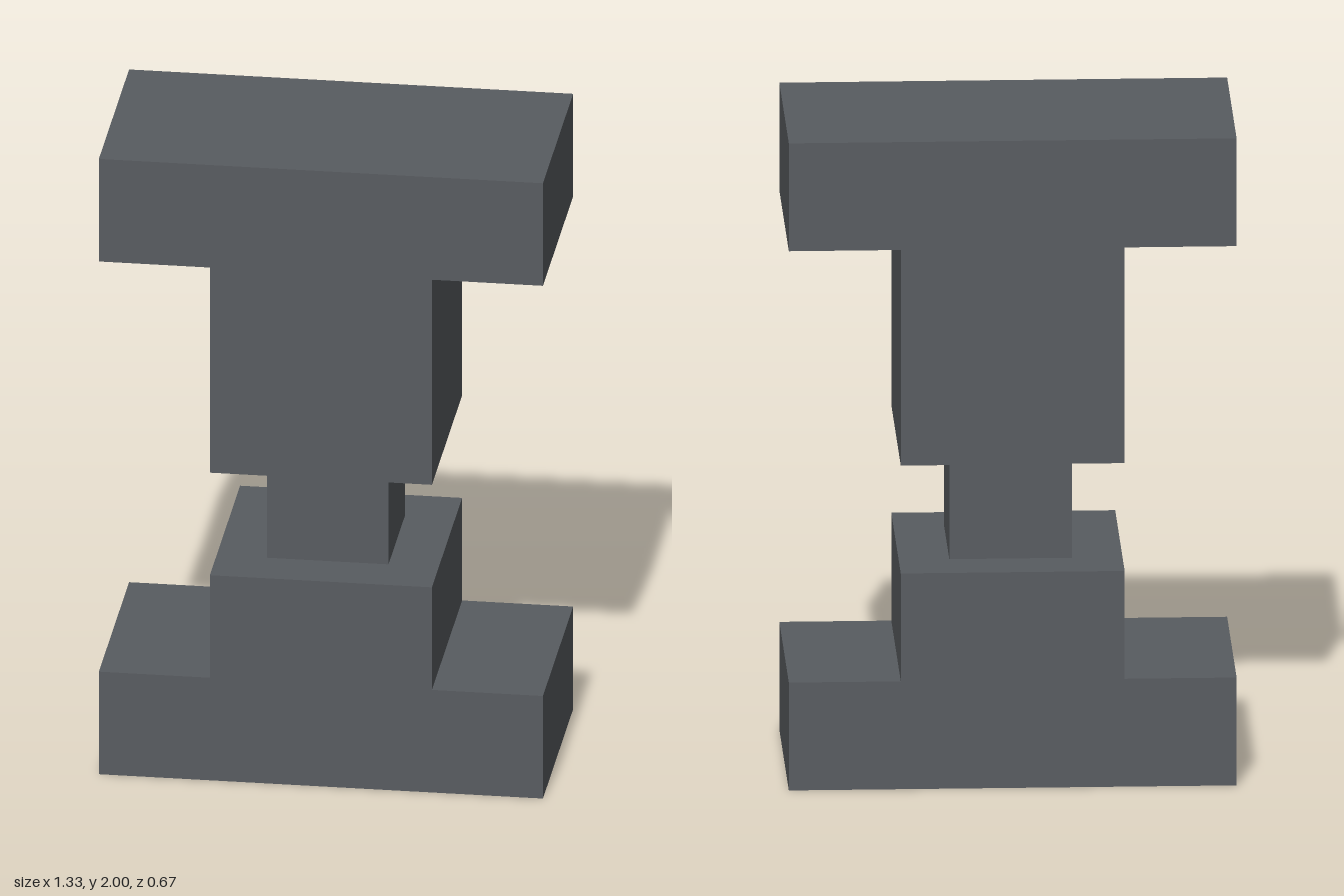
import * as THREE from 'three';

const UNIT = 1 / 3; // the whole shape sits on a grid of thirds

export function createModel() {
  const group = new THREE.Group();
  const darkGrey = new THREE.MeshStandardMaterial({ color: 0x585c60 });

  // T-shaped block: a wide plate with a square stem, outlined by (x, y) on the right half
  function tBlock(name, halfProfile) {
    const outline = [
      ...halfProfile,
      ...halfProfile.map(([x, y]) => [-x, y]).reverse(),
    ].map(([x, y]) => new THREE.Vector2(x * UNIT, y * UNIT));
    const geometry = new THREE.ExtrudeGeometry(new THREE.Shape(outline), {
      depth: 2 * UNIT,
      bevelEnabled: false,
    });
    geometry.translate(0, 0, -UNIT);
    const mesh = new THREE.Mesh(geometry, darkGrey);
    mesh.name = name;
    group.add(mesh);
  }

  // Foot plate with its short pedestal
  tBlock('base', [[2, 0], [2, 1], [1, 1], [1, 2]]);

  // Long stem with the top plate
  tBlock('head', [[1, 3], [1, 5], [2, 5], [2, 6]]);

  // Slim square neck joining the two blocks
  const neck = new THREE.Mesh(new THREE.BoxGeometry(0.365, UNIT, 0.365), darkGrey);
  neck.name = 'neck';
  neck.position.y = 2.5 * UNIT;
  group.add(neck);

  return group;
}
